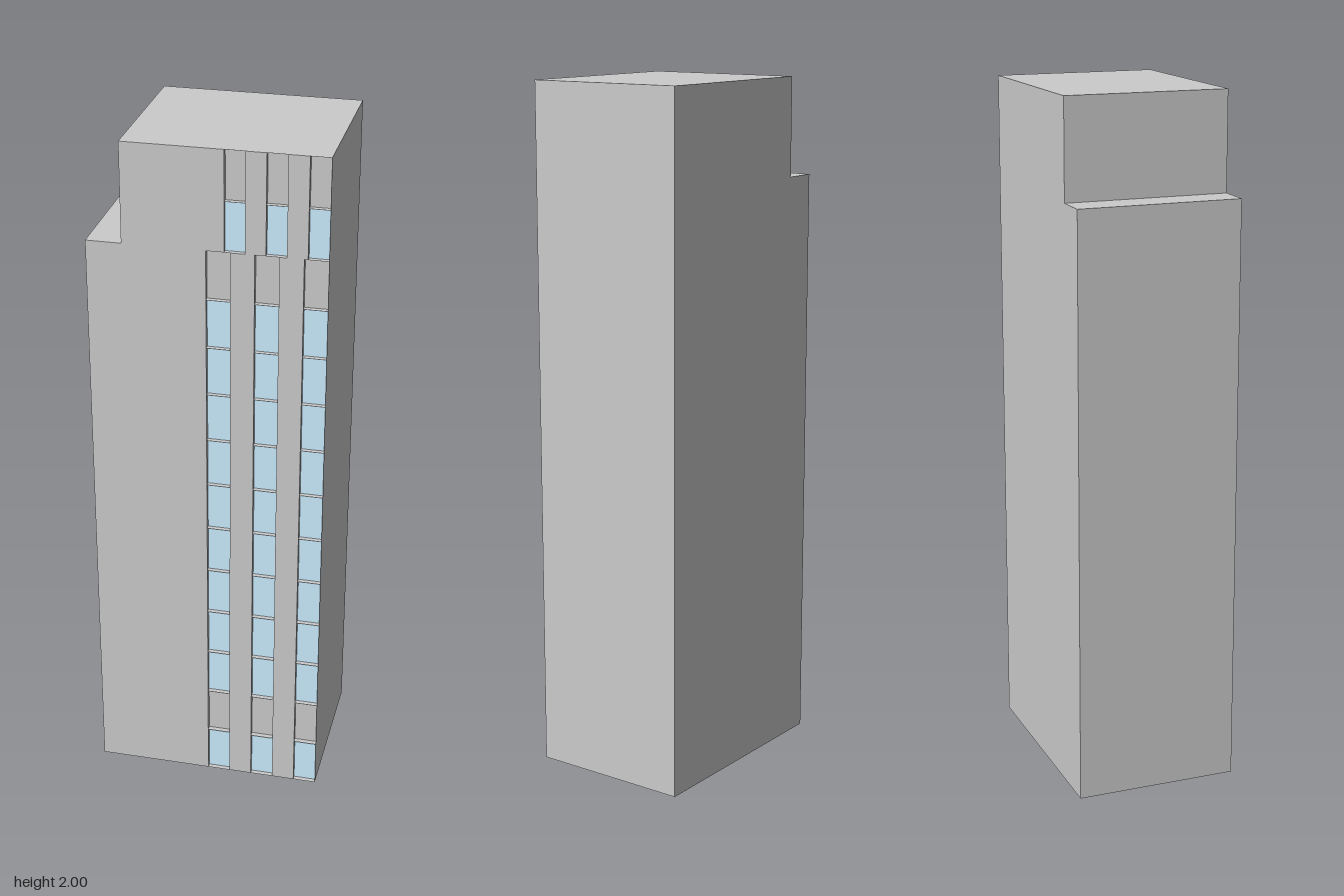
import * as THREE from 'three';
import { mergeGeometries } from 'three/addons/utils/BufferGeometryUtils.js';

const FLOOR = 2 / 14, RIGHT = 0.333, HALF_Z = 0.238, RECESS = 0.015, STRIPS = 3;

const light = new THREE.MeshStandardMaterial({ color: 0xcccccc });
const dark = new THREE.MeshStandardMaterial({ color: 0xbcbcbc });
const thin = new THREE.MeshStandardMaterial({ color: 0xcccccc, side: THREE.DoubleSide });
const glass = new THREE.MeshStandardMaterial({ color: 0xcbecff });

// Three equal recesses, separated by piers, fill the left half of the facade
function stripsFor(left) {
  const start = (left + RIGHT) / 2;
  const w = (RIGHT - start) / (STRIPS * 2 - 1);
  return Array.from({ length: STRIPS }, (_, i) => [start + i * 2 * w, start + (i * 2 + 1) * w]);
}

// Footprint with notches along the front edge, extruded upwards
function wallGeometry(left, height) {
  const s = new THREE.Shape();
  s.moveTo(RIGHT, HALF_Z);
  s.lineTo(left, HALF_Z);
  s.lineTo(left, -HALF_Z);
  for (const [a, b] of stripsFor(left)) {
    s.lineTo(a, -HALF_Z);
    s.lineTo(a, -HALF_Z + RECESS);
    s.lineTo(b, -HALF_Z + RECESS);
    if (b < RIGHT - 0.001) s.lineTo(b, -HALF_Z);
  }
  s.closePath();
  return new THREE.ExtrudeGeometry(s, { depth: height, bevelEnabled: false }).rotateX(-Math.PI / 2);
}

function addMesh(group, name, geometry, material) {
  const mesh = new THREE.Mesh(geometry, material);
  mesh.name = name;
  group.add(mesh);
}

// One horizontal band of floors; glazed bands are darker and carry windows
function addBand(group, name, left, from, to, glazed) {
  const band = new THREE.Group();
  band.name = name;
  const y0 = from * FLOOR, h = (to - from) * FLOOR;
  addMesh(band, 'wall', wallGeometry(left, h).translate(0, y0, 0), glazed ? dark : light);

  const ledges = [], windows = [];
  for (const [a, b] of stripsFor(left)) {
    const x = (a + b) / 2, w = b - a;
    for (let f = from; f <= to; f++) {
      if (f > from || from === 0 || from === 12) {
        ledges.push(new THREE.PlaneGeometry(w, RECESS).rotateX(-Math.PI / 2)
          .translate(x, f * FLOOR, HALF_Z - RECESS / 2));
      }
      if (glazed && f < to) {
        windows.push(new THREE.PlaneGeometry(w, FLOOR)
          .translate(x, (f + 0.5) * FLOOR, HALF_Z - RECESS + 0.001));
      }
    }
  }
  addMesh(band, 'floorLedges', mergeGeometries(ledges), thin);
  if (windows.length) addMesh(band, 'windows', mergeGeometries(windows), glass);

  // Thin return closing the outer side of the last recess
  const fin = new THREE.PlaneGeometry(RECESS, h).rotateY(Math.PI / 2)
    .translate(RIGHT, y0 + h / 2, HALF_Z - RECESS / 2);
  const finMaterial = (glazed ? dark : light).clone();
  finMaterial.side = THREE.DoubleSide;
  addMesh(band, 'cornerFin', fin, finMaterial);
  group.add(band);
}

export function createModel() {
  const tower = new THREE.Group();
  tower.name = 'tower';
  const base = -0.333, setback = -0.233;
  addBand(tower, 'groundFloor', base, 0, 1, true);
  addBand(tower, 'lowerBand', base, 1, 2, false);
  addBand(tower, 'mainFloors', base, 2, 11, true);
  addBand(tower, 'upperBand', base, 11, 12, false);
  addBand(tower, 'setbackFloor', setback, 12, 13, true);
  addBand(tower, 'crownBand', setback, 13, 14, false);
  return tower;
}
